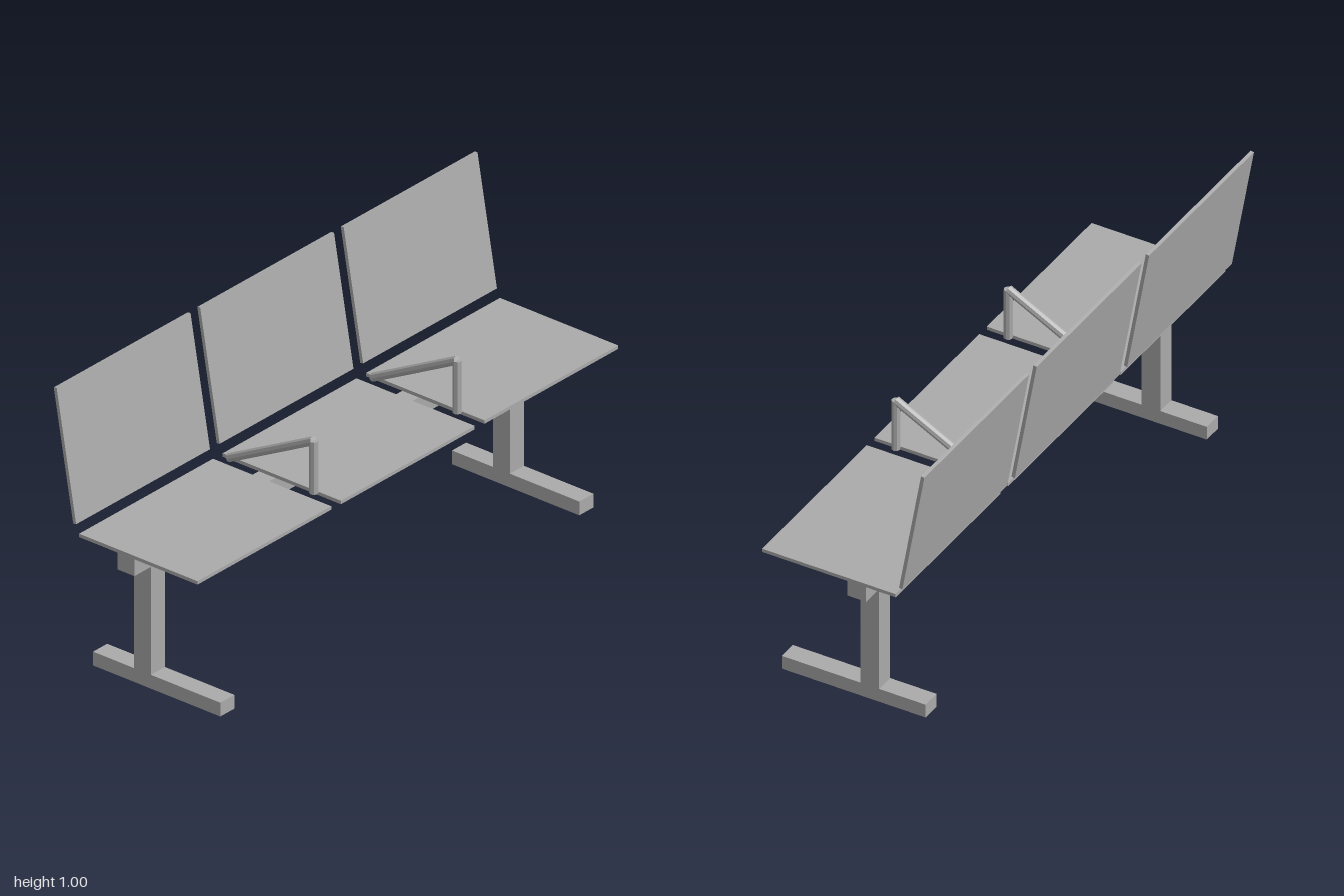
import * as THREE from 'three';

export function createModel() {
  const model = new THREE.Group();
  model.name = 'beamBench';
  const grey = new THREE.MeshStandardMaterial({ color: 0xaaaaaa });
  grey.name = 'grey';
  // Faceted look for the low-sided armrest tubes comes from non-indexed normals
  const facet = (geo) => {
    const flat = geo.toNonIndexed();
    flat.computeVertexNormals();
    return flat;
  };

  function add(name, geometry, x, y, z, parent = model) {
    const mesh = new THREE.Mesh(geometry, grey);
    mesh.name = name;
    mesh.position.set(x, y, z);
    parent.add(mesh);
    return mesh;
  }
  const box = (name, w, h, d, x, y, z) => add(name, new THREE.BoxGeometry(w, h, d), x, y, z);

  // Eight-sided tube between two points
  function bar(name, from, to, parent) {
    const axis = to.clone().sub(from);
    const geometry = facet(new THREE.CylinderGeometry(0.0145, 0.0145, axis.length(), 8));
    const mid = from.clone().add(to).multiplyScalar(0.5);
    const mesh = add(name, geometry, mid.x, mid.y, mid.z, parent);
    mesh.quaternion.setFromUnitVectors(new THREE.Vector3(0, 1, 0), axis.normalize());
  }

  // Three seats with tilted backrests
  for (const x of [-0.682, 0, 0.682]) {
    box('seat', 0.636, 0.012, 0.476, x, 0.514, 0.051);
    const back = box('backrest', 0.636, 0.455, 0.012, x, 0.772, -0.244);
    back.rotation.x = -0.173;
  }

  // Supporting beam
  box('beam', 1.93, 0.067, 0.067, 0, 0.458, -0.028);

  for (const side of [-1, 1]) {
    // Legs and feet
    box('leg', 0.067, 0.377, 0.067, side * 0.853, 0.2365, -0.028);
    box('foot', 0.067, 0.048, 0.512, side * 0.853, 0.024, 0.029);

    // Armrests in the gaps between the seats
    const armrest = new THREE.Group();
    armrest.name = 'armrest';
    armrest.position.x = side * 0.341;
    model.add(armrest);
    bar('armrestPost', new THREE.Vector3(0, 0.526, 0.199), new THREE.Vector3(0, 0.708, 0.199), armrest);
    bar('armrestBar', new THREE.Vector3(0, 0.53, -0.1415), new THREE.Vector3(0, 0.708, 0.199), armrest);
  }

  return model;
}
